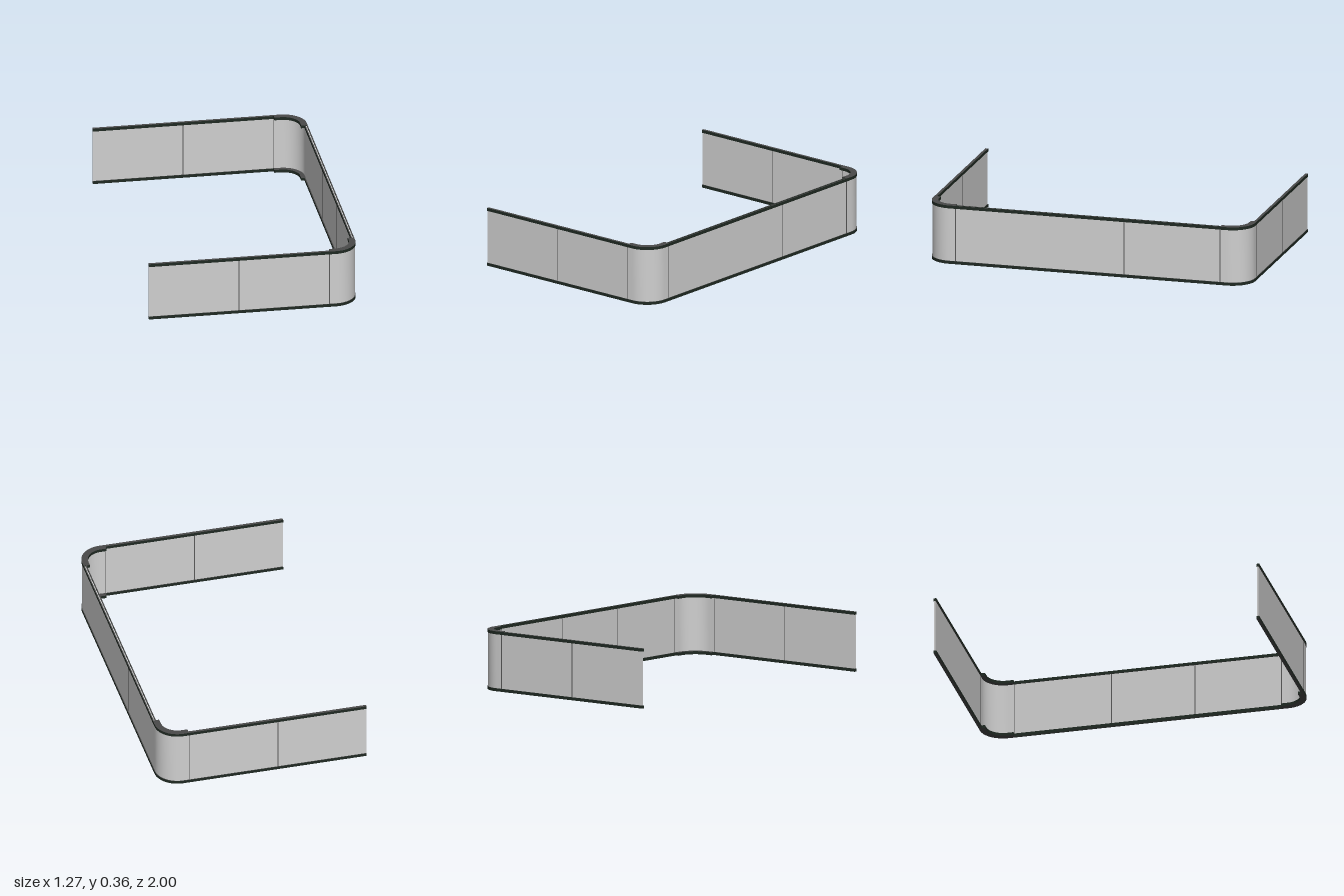
import * as THREE from 'three';
import { toCreasedNormals } from 'three/addons/utils/BufferGeometryUtils.js';

const material = (name, color) => Object.assign(new THREE.MeshStandardMaterial({ color }), { name });

// Plan outline of a rectangle; plan y is world -z
function rectangle(x0, x1, y0, y1) {
  return new THREE.Shape([[x0, y0], [x1, y0], [x1, y1], [x0, y1]].map(p => new THREE.Vector2(...p)));
}

// Plan outline of a quarter bend with short straight ends; side is +1 or -1
function bend(side, outer, inner) {
  const cx = 0.492, cy = 0.858, x0 = 0.455, y0 = 0.82, pts = [];
  const add = (x, y) => pts.push(new THREE.Vector2(x, side * y));
  const arc = (r, from, to) => {
    for (let i = 0; i <= 16; i++) {
      const a = from + (to - from) * i / 16;
      add(cx + r * Math.cos(a), cy + r * Math.sin(a));
    }
  };
  add(cx + outer, y0);
  arc(outer, 0, Math.PI / 2);
  add(x0, cy + outer);
  add(x0, cy + inner);
  arc(inner, Math.PI / 2, 0);
  add(cx + inner, y0);
  return new THREE.Shape(pts);
}

export function createModel() {
  const model = new THREE.Group();
  model.name = 'cornerGlassRailing';

  const glass = material('paleGlass', 0xd0d0d0);
  const railTop = material('railGrey', 0x4a4a4a);
  const railSide = material('railDark', 0x1f2922);
  const joint = material('jointGrey', 0x585858);

  const H = 0.36, T = 0.018, X0 = -0.635, X1 = 0.632;

  // Upright prism over a plan outline, from y0 to y1
  function prism(name, shape, y0, y1, mat) {
    let g = new THREE.ExtrudeGeometry(shape, { depth: y1 - y0, bevelEnabled: false });
    g.rotateX(-Math.PI / 2);
    g.translate(0, y0, 0);
    g = toCreasedNormals(g, 0.5);
    const mesh = new THREE.Mesh(g, mat);
    mesh.name = name;
    model.add(mesh);
  }

  // Matching top and bottom rails
  function rails(name, shape) {
    prism(name + 'Bottom', shape, 0, T, [railTop, railSide]);
    prism(name + 'Top', shape, H - T, H, [railTop, railSide]);
  }

  for (const side of [1, -1]) {
    const end = side > 0 ? 'back' : 'front';
    const band = (x0, x1, a, b) => rectangle(x0, x1, Math.min(side * a, side * b), Math.max(side * a, side * b));

    // Arm: two panels, their joints and the rails
    rails(end + 'ArmRail', band(X0, 0.455, 0.981, 0.998));
    prism(end + 'ArmPanelOuter', band(X0, -0.092, 0.986, 0.994), T, H - T, glass);
    prism(end + 'ArmPanelInner', band(-0.092, 0.455, 0.986, 0.994), T, H - T, glass);
    for (const x of [-0.092, 0.453]) {
      prism(end + 'ArmJoint', band(x - 0.0025, x + 0.0025, 0.985, 0.995), T, H - T, joint);
    }

    // Curved corner
    rails(end + 'CornerRail', bend(side, 0.14, 0.101));
    prism(end + 'CornerGlass', bend(side, 0.136, 0.128), T, H - T, glass);
  }

  // Long wall: twin rail strips with the panel edges showing between them
  rails('wallRailOuter', rectangle(0.626, X1, -0.82, 0.82));
  rails('wallRailInner', rectangle(0.613, 0.619, -0.82, 0.82));
  const seams = [-0.82, -0.288, 0.225, 0.82];
  for (let i = 0; i < 3; i++) {
    prism('wallPanel' + (i + 1), rectangle(0.619, 0.627, seams[i], seams[i + 1]), 0.005, H - 0.005, glass);
  }
  // One joint shows only on the inner face
  for (const y of [-0.818, 0.225, 0.818]) {
    prism('wallJoint', rectangle(0.618, 0.628, y - 0.0025, y + 0.0025), T, H - T, joint);
  }
  prism('wallInnerJoint', rectangle(0.618, 0.622, -0.2905, -0.2855), T, H - T, joint);

  return model;
}
